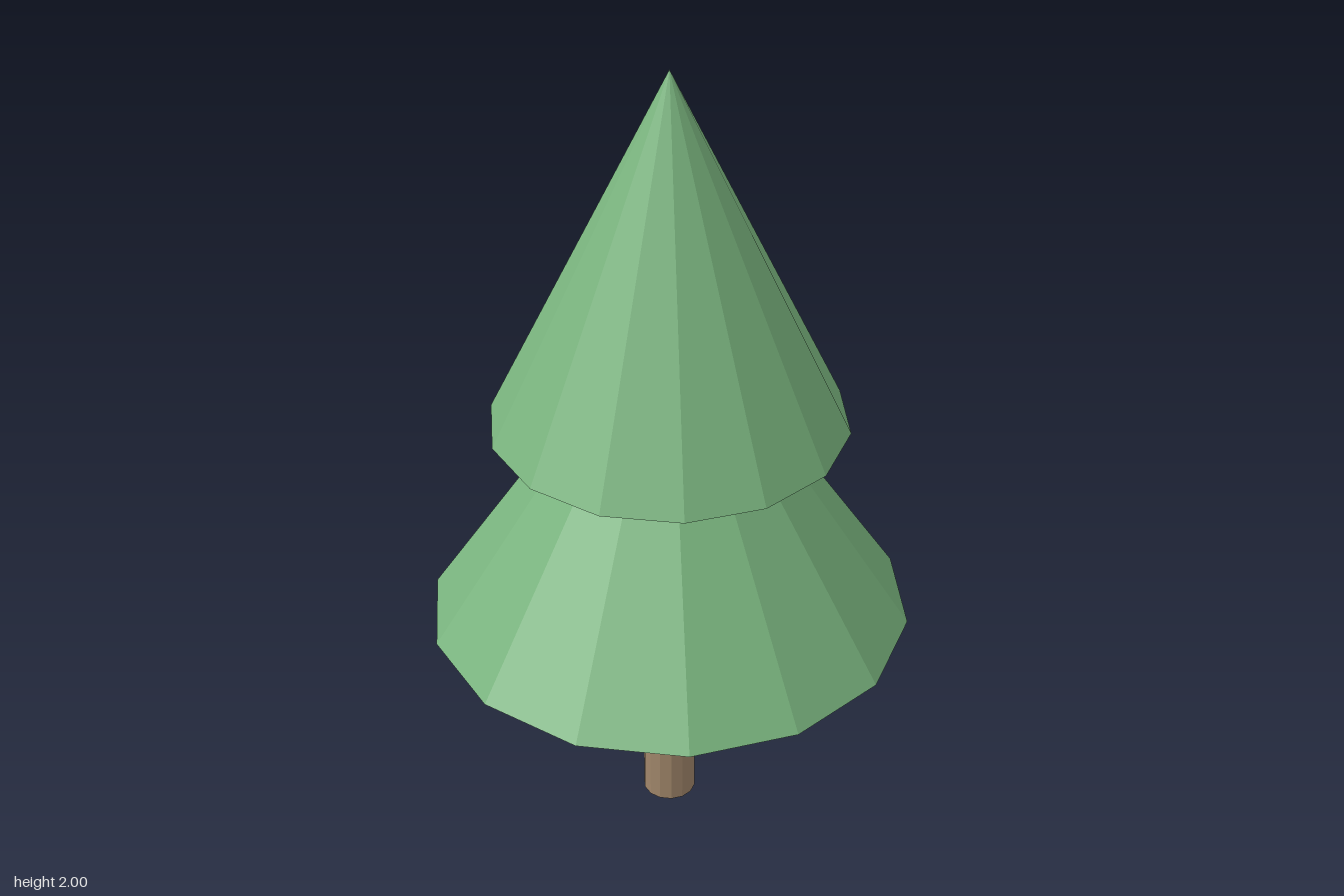
import * as THREE from 'three';

const SIDES = 14;

// Facets are split into separate faces so every side stays flat with plain materials.
function facetedMesh(geometry, material, name, y) {
  const faceted = geometry.toNonIndexed();
  faceted.computeVertexNormals();
  const mesh = new THREE.Mesh(faceted, material);
  mesh.name = name;
  mesh.position.y = y;
  return mesh;
}

export function createModel() {
  const tree = new THREE.Group();
  tree.name = 'tree';

  const foliage = new THREE.MeshStandardMaterial({ color: 0x7ab57f });
  foliage.name = 'leaf green';
  const bark = new THREE.MeshStandardMaterial({ color: 0xa0866a });
  bark.name = 'bark brown';

  // Trunk, reaching just up to the lowest foliage tier
  const trunkHeight = 0.592;
  const trunk = new THREE.CylinderGeometry(0.066, 0.066, trunkHeight, SIDES, 1, false, Math.PI / 2);
  tree.add(facetedMesh(trunk, bark, 'trunk', trunkHeight / 2));

  // Two foliage cones of equal height, with a corner on the x axis
  const tierHeight = 0.878;
  const tiers = [
    { name: 'lowerFoliage', radius: 0.585, base: 0.592 },
    { name: 'upperFoliage', radius: 0.425, base: 1.122 },
  ];
  for (const { name, radius, base } of tiers) {
    const cone = new THREE.ConeGeometry(radius, tierHeight, SIDES, 1, false, Math.PI / 2);
    tree.add(facetedMesh(cone, foliage, name, base + tierHeight / 2));
  }

  return tree;
}
